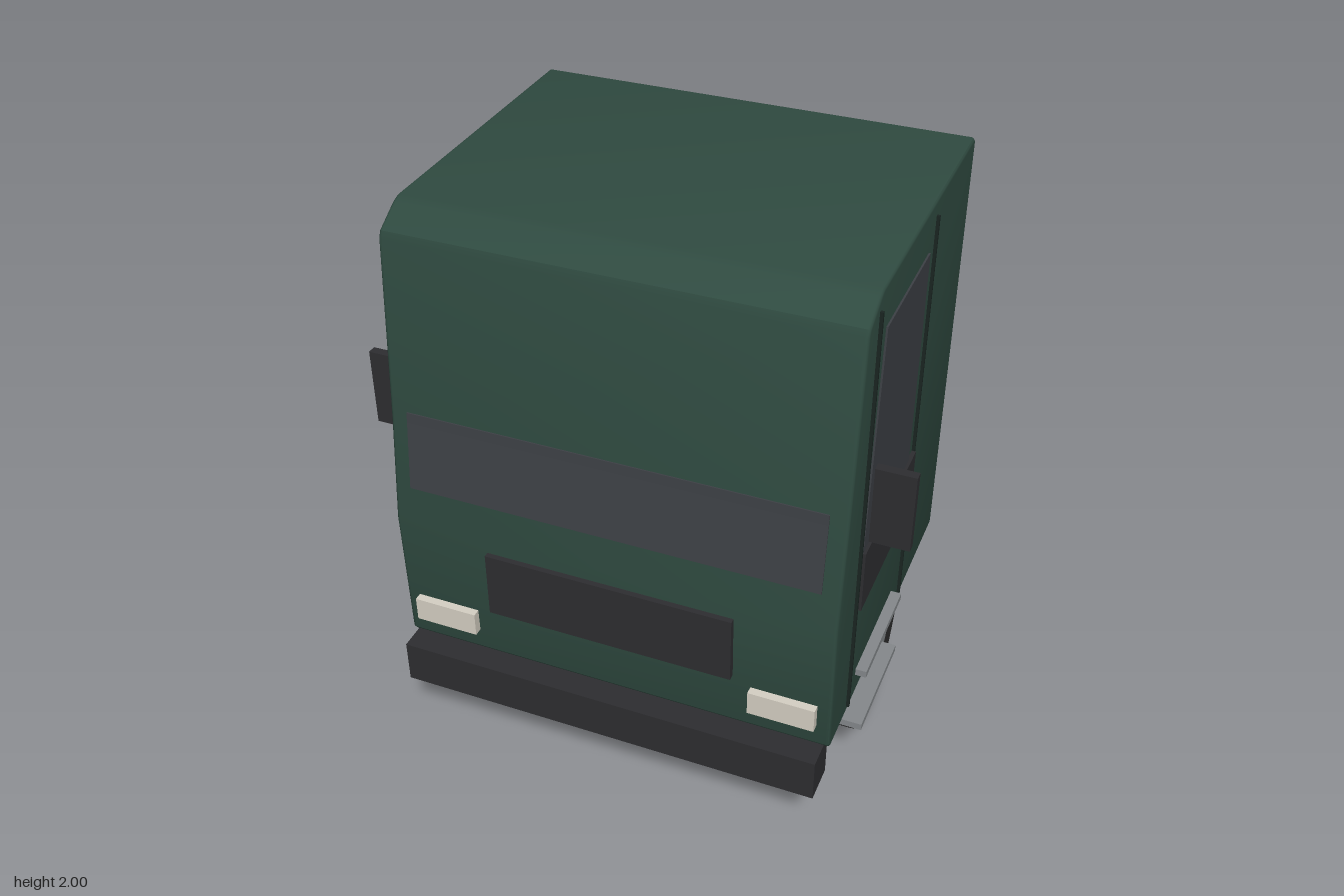
import * as THREE from 'three';
import { toCreasedNormals } from 'three/addons/utils/BufferGeometryUtils.js';

const mat = (color) => new THREE.MeshStandardMaterial({ color });

export function createModel() {
  const group = new THREE.Group();
  const green = mat(0x2f4a40), dark = mat(0x2e2e31), glass = mat(0x3d4045);
  const metal = mat(0x85898c), hubMetal = mat(0xa5a8aa), rubber = mat(0x2b2b2b);
  const lamp = mat(0xd6d0c4), seam = mat(0x1a2522);

  const add = (name, geometry, material) => {
    const mesh = new THREE.Mesh(geometry, material);
    mesh.name = name;
    group.add(mesh);
    return mesh;
  };

  // Box given by its limits on each axis
  const box = (name, material, [x0, x1], [y0, y1], [z0, z1]) =>
    add(name, new THREE.BoxGeometry(x1 - x0, y1 - y0, z1 - z0), material)
      .position.set((x0 + x1) / 2, (y0 + y1) / 2, (z0 + z1) / 2);

  // Side outline of [z, y] points, extruded across x from x0 to x1
  const sideExtrude = (points, x0, x1, bevel = 0) => {
    const shape = new THREE.Shape(points.map(([z, y]) => new THREE.Vector2(z, y)));
    const geometry = new THREE.ExtrudeGeometry(shape, {
      depth: x1 - x0 - 2 * bevel, bevelEnabled: bevel > 0, bevelThickness: bevel,
      bevelSize: bevel, bevelOffset: -bevel, bevelSegments: 3,
    });
    geometry.rotateY(-Math.PI / 2);
    geometry.translate(x1 - bevel, 0, 0);
    return geometry;
  };

  // Cab shell
  const cab = sideExtrude([
    [0.58, 0.43], [0.59, 0.445], [0.602, 0.93], [0.561, 1.3], [0.51, 1.91], [0.5, 1.935],
    [0.41, 1.99], [0.38, 2], [-0.655, 2], [-0.668, 1.987], [-0.668, 0.443], [-0.655, 0.43],
  ], -0.755, 0.755, 0.012);
  add('cabShell', toCreasedNormals(cab, 0.6), green);

  // Windscreen band, following the slope of the front
  add('windscreen', sideExtrude(
    [[0.57, 1.06], [0.592, 1.06], [0.565, 1.3], [0.5625, 1.335], [0.54, 1.335]], -0.695, 0.695), glass);

  // Front and underside
  box('grille', dark, [-0.425, 0.425], [0.64, 0.88], [0.57, 0.62]);
  box('bumper', dark, [-0.735, 0.735], [0.28, 0.435], [0.545, 0.675]);
  box('chassis', dark, [-0.73, 0.73], [0.34, 0.565], [-0.673, 0.3]);

  for (const s of [1, -1]) {
    const span = (a, b) => (s > 0 ? [a, b] : [-b, -a]);
    const side = s > 0 ? 'left' : 'right';

    box(side + 'Headlight', lamp, span(0.485, 0.708), [0.52, 0.607], [0.57, 0.622]);
    box(side + 'Mirror', dark, span(0.78, 0.907), [1.155, 1.425], [0.385, 0.415]);

    // Door: seams, window, lower panel and bars
    for (const z of [0.412, -0.193])
      box(side + 'DoorSeam', seam, span(0.74, 0.765), [0.46, 1.945], [z - 0.005, z + 0.005]);
    add(side + 'Window', sideExtrude(
      [[0.387, 1.08], [0.33, 1.85], [-0.13, 1.85], [-0.13, 1.08]], ...span(0.74, 0.761)), glass);
    box(side + 'DoorPanel', dark, span(0.74, 0.77), [0.855, 1.082], [-0.187, 0.39]);
    box(side + 'DoorBar', metal, span(0.74, 0.792), [0.522, 0.547], [-0.092, 0.328]);
    box(side + 'Step', metal, span(0.69, 0.792), [0.28, 0.305], [-0.092, 0.328]);

    // Wheel: tyre, rim and hub stacked on one axle
    const wheel = new THREE.Group();
    wheel.name = side + 'Wheel';
    for (const [name, radius, width, sides, material] of [
      ['tyre', 0.302, 0.17, 20, rubber], ['rim', 0.18, 0.176, 16, metal], ['hub', 0.055, 0.2, 14, hubMetal]]) {
      const part = new THREE.Mesh(new THREE.CylinderGeometry(radius, radius, width, sides), material);
      part.name = name;
      part.rotation.z = Math.PI / 2;
      wheel.add(part);
    }
    wheel.position.set(s * 0.637, 0.302, -0.062);
    group.add(wheel);
  }
  return group;
}
